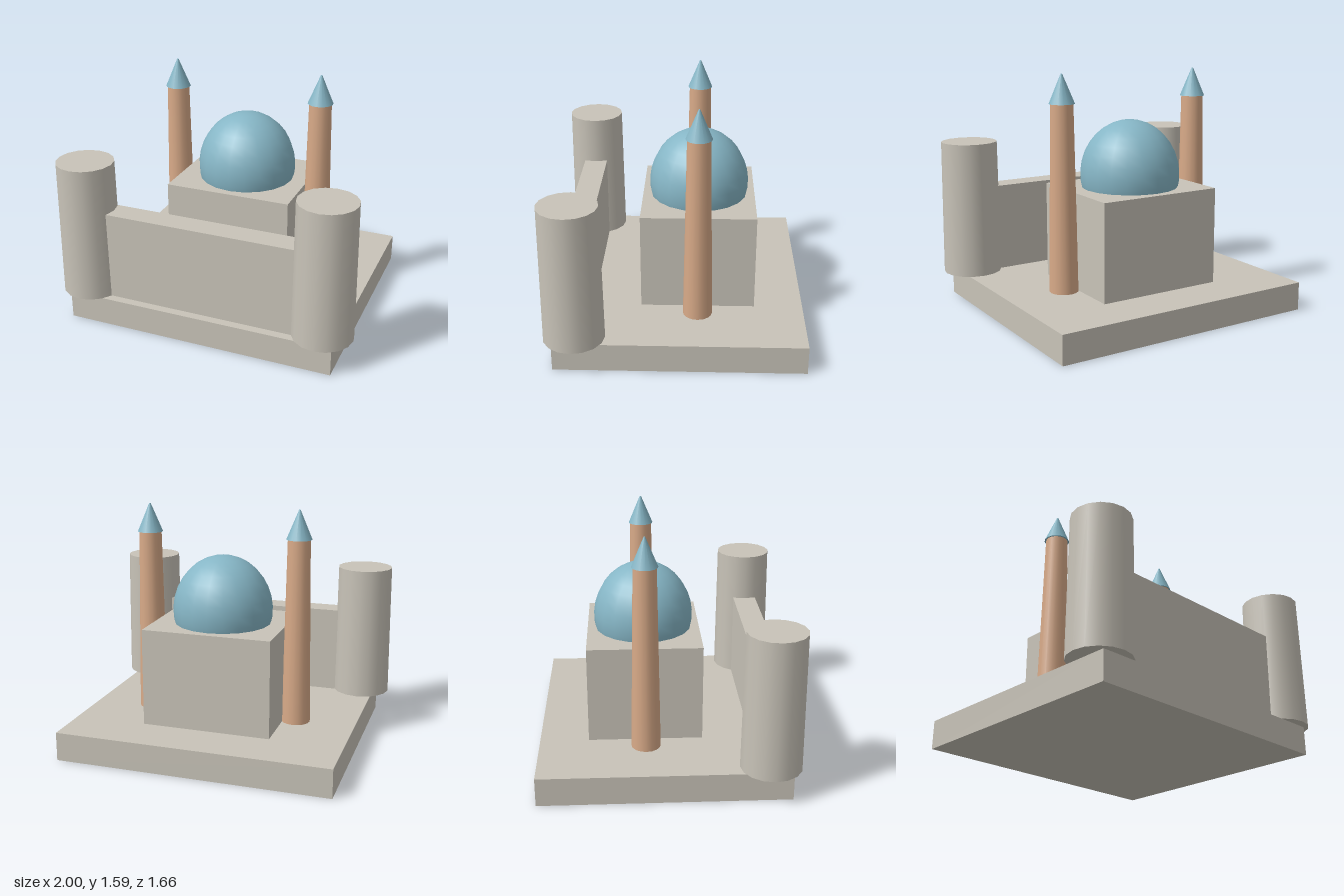
import * as THREE from 'three';

export function createModel() {
  const model = new THREE.Group();
  const material = (name, color) => {
    const m = new THREE.MeshStandardMaterial({ color });
    m.name = name;
    return m;
  };
  const stone = material('stone', 0xc8c3b8);
  const clay = material('clay', 0xd8aa88);
  const blue = material('blue tile', 0x86b6c6);

  const add = (name, geometry, mat, x, y, z) => {
    const mesh = new THREE.Mesh(geometry, mat);
    mesh.name = name;
    mesh.position.set(x, y, z);
    model.add(mesh);
    return mesh;
  };
  // Box given by its width, height range and depth range
  const block = (name, width, y0, y1, z0, z1) =>
    add(name, new THREE.BoxGeometry(width, y1 - y0, z1 - z0), stone, 0, (y0 + y1) / 2, (z0 + z1) / 2);
  // Tapered round column given by its height range
  const column = (name, mat, rTop, rBottom, y0, y1, x, z) =>
    add(name, new THREE.CylinderGeometry(rTop, rBottom, y1 - y0, 16), mat, x, (y0 + y1) / 2, z);

  const floor = 0.188;
  block('base', 1.8, 0, floor, -0.83, 0.763);
  block('hall', 0.85, floor, 0.828, -0.512, 0.232);
  block('frontWall', 1.4, floor, 0.777, 0.547, 0.708);

  // Dome sunk slightly below its equator into the hall roof
  const dome = new THREE.SphereGeometry(1, 20, 10, 0, Math.PI * 2, 0, Math.PI * 0.6);
  dome.scale(0.328, 0.364, 0.328);
  add('dome', dome, blue, 0, 0.905, -0.14);

  // Mirrored towers and minarets
  for (const [side, s] of [['left', 1], ['right', -1]]) {
    column(side + 'Tower', stone, 0.187, 0.196, floor, 1.092, s * 0.804, 0.63);
    column(side + 'Minaret', clay, 0.073, 0.095, floor, 1.402, s * 0.505, -0.14);
    column(side + 'MinaretRoof', blue, 0.005, 0.083, 1.4, 1.586, s * 0.505, -0.14);
  }
  return model;
}
